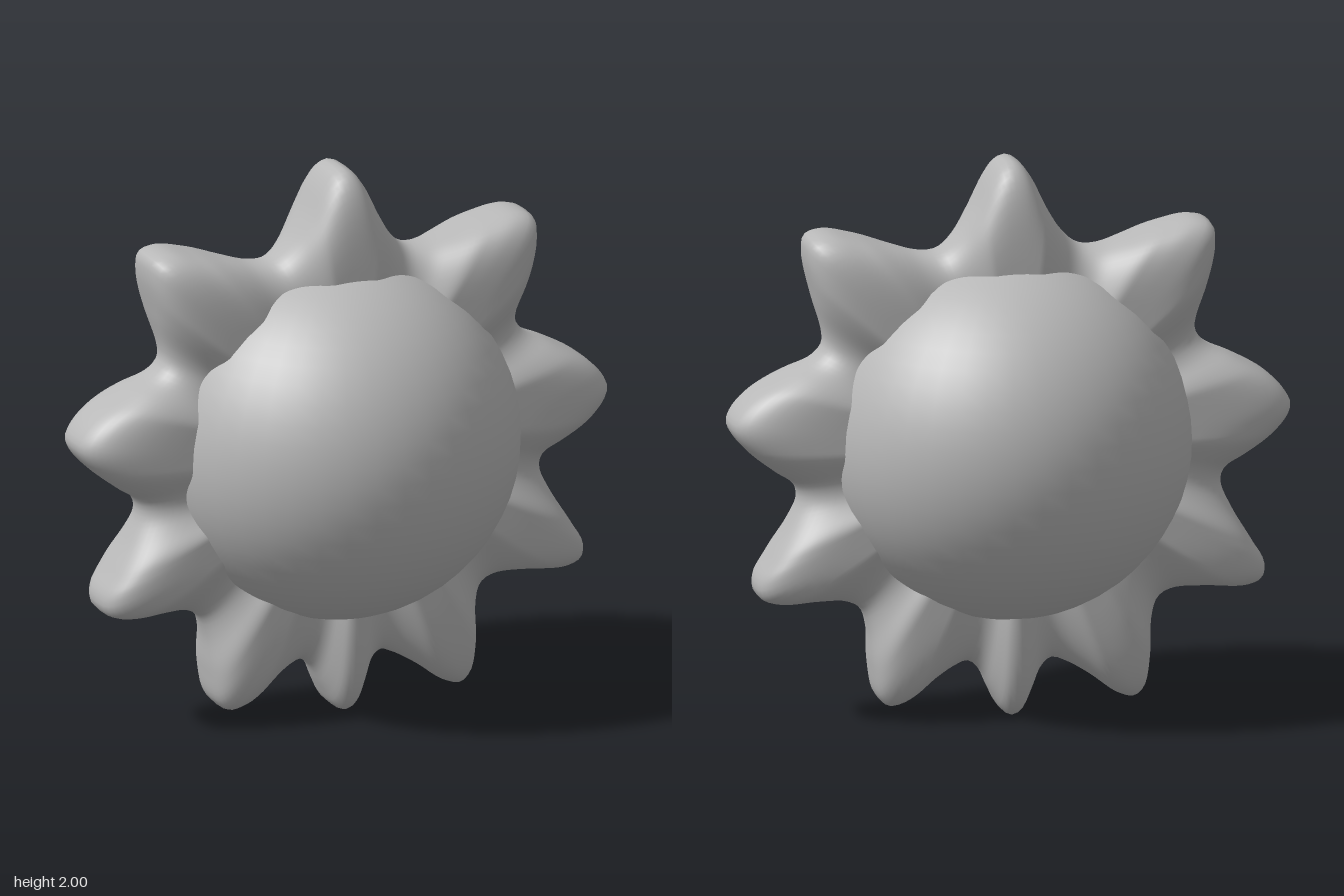
import * as THREE from 'three';

const CENTRE_Y = 1;

// Right half of the ray outline, clockwise from the top tip (x, y about the centre)
const HALF = [
  [0, 1], [0.035, 0.985], [0.07, 0.94], [0.13, 0.82], [0.19, 0.73], [0.25, 0.68],
  [0.32, 0.675], [0.42, 0.70], [0.55, 0.74], [0.66, 0.76], [0.72, 0.74], [0.73, 0.68],
  [0.70, 0.53], [0.665, 0.40], [0.665, 0.355], [0.70, 0.31], [0.80, 0.26], [0.92, 0.19],
  [0.98, 0.13], [1, 0.085], [0.99, 0.05], [0.94, -0.01], [0.84, -0.09], [0.77, -0.14],
  [0.755, -0.19], [0.79, -0.28], [0.86, -0.40], [0.905, -0.48], [0.90, -0.535], [0.85, -0.56],
  [0.70, -0.56], [0.58, -0.57], [0.53, -0.60], [0.505, -0.67], [0.495, -0.80], [0.475, -0.91],
  [0.44, -0.945], [0.38, -0.93], [0.28, -0.86], [0.20, -0.815], [0.15, -0.80], [0.11, -0.83],
  [0.07, -0.91], [0.03, -0.98], [0, -0.995],
];
// Dips between the rays, where the ring is thinner
const VALLEYS = [[0.28, 0.67], [0.66, 0.36], [0.755, -0.18], [0.55, -0.58], [0.15, -0.80]];

// Ring of rays: a rounded section swept round the outline
function rayRing() {
  const mirrored = HALF.slice(1, -1).reverse().map(([x, y]) => [-x, y]);
  const points = [...HALF, ...mirrored].map(([x, y]) => new THREE.Vector3(x, y, 0));
  const outline = new THREE.CatmullRomCurve3(points, true);
  outline.arcLengthDivisions = 1500;
  const U = 360, V = 24, INNER = 0.5;
  const pos = [], index = [];
  const rim = outline.getSpacedPoints(U);
  for (let u = 0; u < U; u++) {
    const { x, y } = rim[u];
    const radius = Math.hypot(x, y);
    const gap = Math.min(...VALLEYS.map(([a, b]) => Math.hypot(Math.abs(x) - a, y - b)));
    const t = THREE.MathUtils.smoothstep(gap, 0, 0.26);
    const half = 0.145 + 0.05 * t;
    const power = 2 / (2.5 + t);
    for (let v = 0; v <= V; v++) {
      const a = Math.PI * (0.5 - v / V);
      const r = INNER + (radius - INNER) * Math.pow(Math.max(Math.cos(a), 0), power);
      const z = half * Math.sign(Math.sin(a)) * Math.pow(Math.abs(Math.sin(a)), power);
      pos.push((x / radius) * r, (y / radius) * r, z);
      if (v < V) {
        const p = u * (V + 1) + v, q = ((u + 1) % U) * (V + 1) + v;
        index.push(p, q, p + 1, q, q + 1, p + 1);
      }
    }
  }
  const g = new THREE.BufferGeometry();
  g.setAttribute('position', new THREE.Float32BufferAttribute(pos, 3));
  g.setIndex(index);
  g.computeVertexNormals();
  return g;
}

export function createModel() {
  const group = new THREE.Group();
  group.name = 'sun';
  const grey = new THREE.MeshStandardMaterial({ color: 0xb8b8b8 });
  grey.name = 'grey';

  // Central ball
  const ball = new THREE.Mesh(new THREE.SphereGeometry(0.65, 40, 28), grey);
  ball.name = 'ball';
  // Rays around it
  const rays = new THREE.Mesh(rayRing(), grey);
  rays.name = 'rays';

  for (const part of [ball, rays]) {
    part.position.y = CENTRE_Y;
    group.add(part);
  }
  return group;
}
